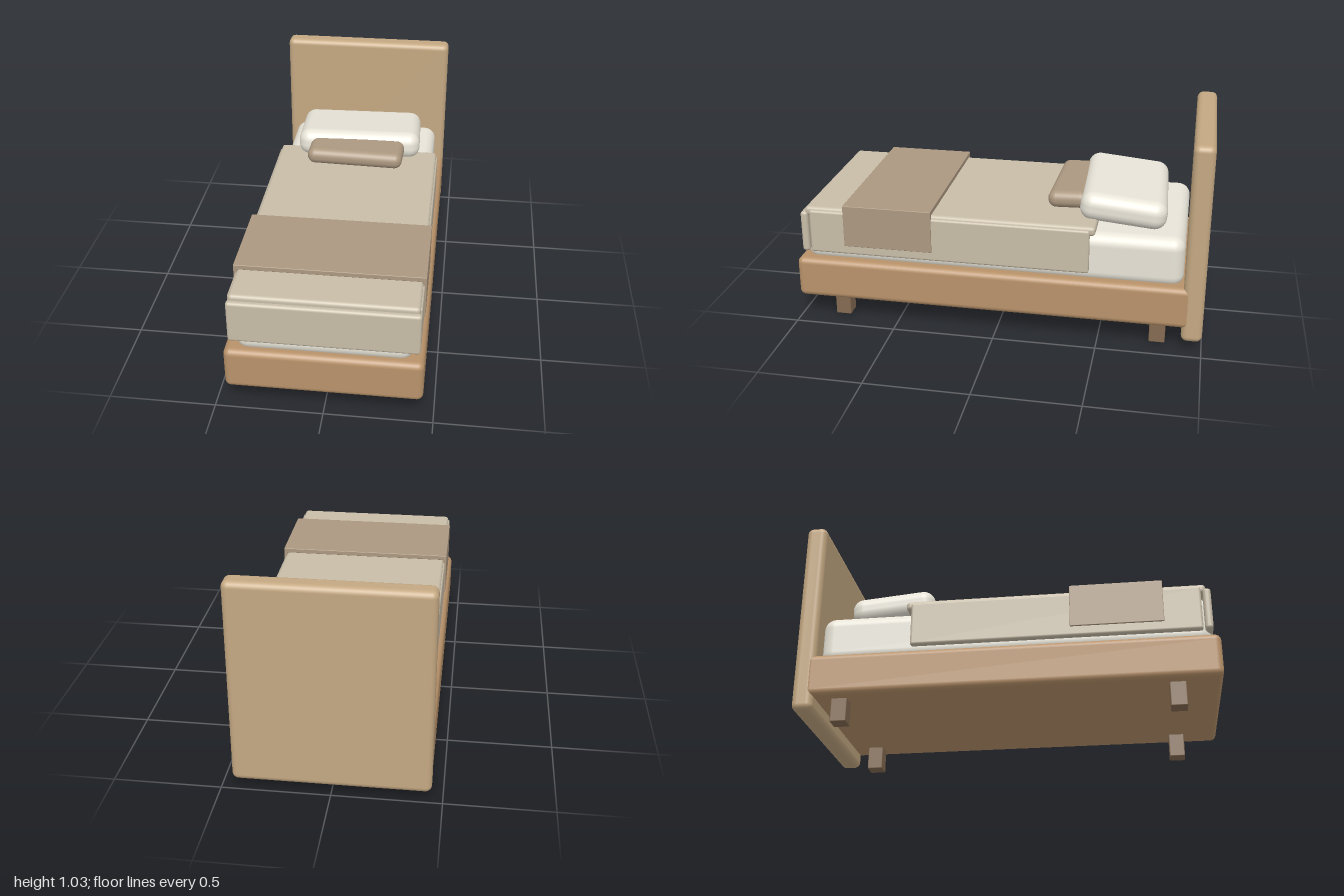
import * as THREE from 'three';
import { RoundedBoxGeometry } from 'three/addons/geometries/RoundedBoxGeometry.js';

const mat = (color) => new THREE.MeshStandardMaterial({ color });

export function createModel() {
  const bed = new THREE.Group();
  bed.name = 'bed';

  const lightWood = mat(0xc4a882);
  const wood = mat(0xb8926a);
  const darkWood = mat(0x846b52);
  const white = mat(0xe8e4d8);
  const cover = mat(0xc8bda8);
  const brown = mat(0xac9880);

  // Rounded block spanning [min, max] on each axis
  function block(name, material, [x0, x1], [y0, y1], [z0, z1], radius, segments = 4) {
    const size = [x1 - x0, y1 - y0, z1 - z0];
    const geometry = radius > 0
      ? new RoundedBoxGeometry(...size, segments, radius)
      : new THREE.BoxGeometry(...size);
    const mesh = new THREE.Mesh(geometry, material);
    mesh.name = name;
    mesh.position.set((x0 + x1) / 2, (y0 + y1) / 2, (z0 + z1) / 2);
    bed.add(mesh);
    return mesh;
  }

  // Same block on both sides of the bed
  function pair(name, material, [x0, x1], y, z, radius, segments) {
    block(name + 'Left', material, [x0, x1], y, z, radius, segments);
    block(name + 'Right', material, [-x1, -x0], y, z, radius, segments);
  }

  // Timber parts
  block('headboard', lightWood, [-0.45, 0.45], [0.045, 1.03], [-1, -0.9], 0.03);
  block('frame', wood, [-0.45, 0.45], [0.115, 0.322], [-0.945, 1], 0.03);
  pair('frontLeg', darkWood, [0.31, 0.39], [0, 0.13], [0.755, 0.832], 0.005, 2);
  pair('backLeg', darkWood, [0.31, 0.39], [0, 0.13], [-0.825, -0.748], 0.005, 2);

  // Mattress
  block('mattress', white, [-0.4, 0.4], [0.295, 0.546], [-0.895, 0.965], 0.06, 6);

  // Blanket: top sheet, side drops and foot drop
  block('blanketTop', cover, [-0.422, 0.422], [0.545, 0.591], [-0.476, 0.95], 0.018);
  pair('blanketSide', cover, [0.395, 0.43], [0.356, 0.576], [-0.45, 0.926], 0.012);
  block('blanketFoot', cover, [-0.43, 0.43], [0.356, 0.565], [0.935, 0.972], 0.015);

  // Folded throw across the bed
  block('throwTop', brown, [-0.437, 0.437], [0.591, 0.615], [0.312, 0.75], 0.003, 2);
  pair('throwSide', brown, [0.418, 0.437], [0.403, 0.613], [0.312, 0.75], 0.003, 2);

  // Pillow leaning slightly up toward the foot
  const pillow = block('pillow', white, [-0.325, 0.325], [0.56, 0.7], [-0.79, -0.375], 0.06, 6);
  pillow.rotation.set(-0.11, 0.04, 0);

  // Small cushion tucked in front of the pillow
  const cushion = block('cushion', brown, [-0.25, 0.25], [0.602, 0.687], [-0.425, -0.23], 0.04, 6);
  cushion.rotation.set(0.04, -0.035, 0);

  return bed;
}
